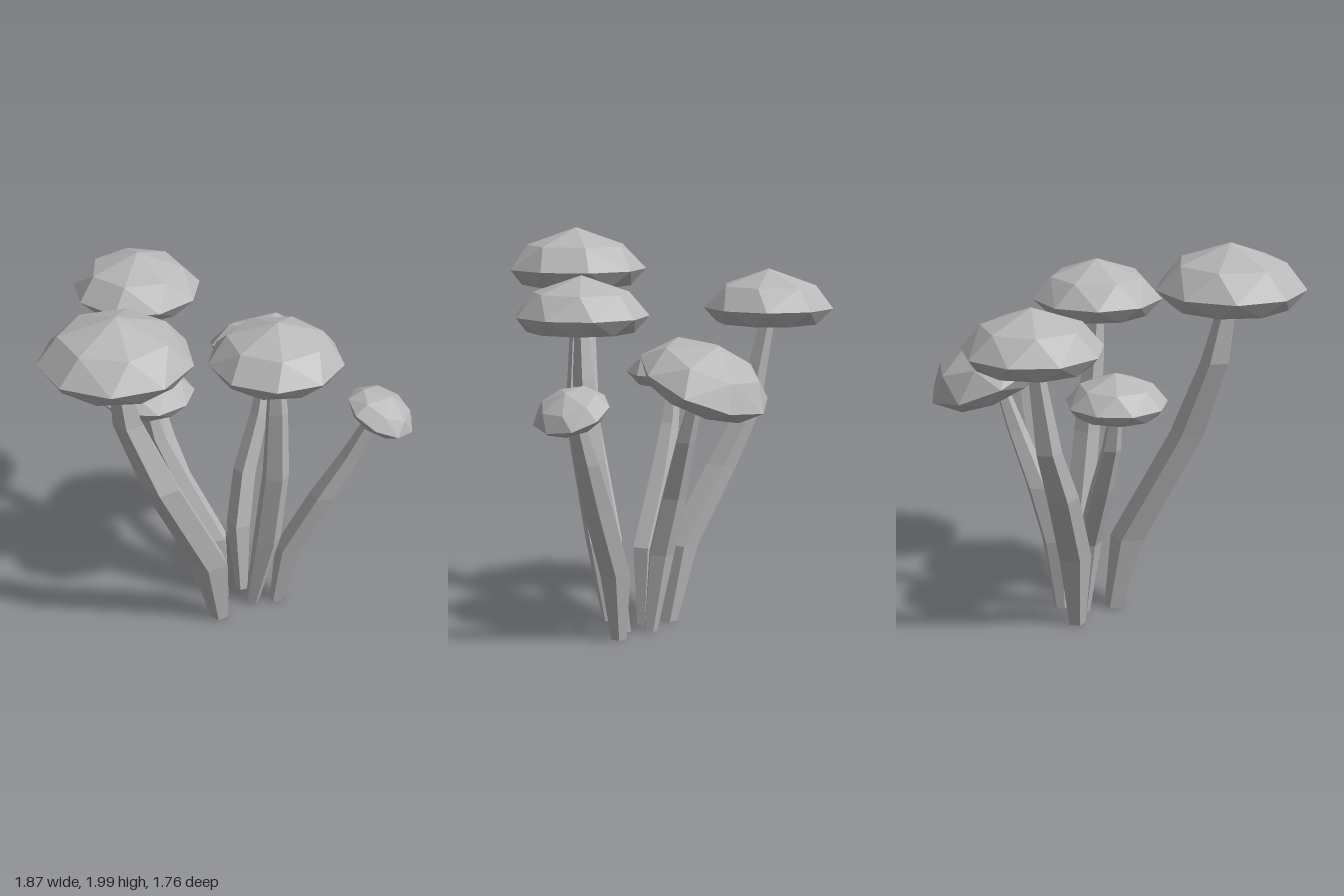
import * as THREE from 'three';
import { ConvexGeometry } from 'three/addons/geometries/ConvexGeometry.js';

// Cap rings: sides, radius and height as fractions of the cap, twist
const CAP_RINGS = [[9, 0.8, 0, 0.25], [9, 1, 0.28, 0], [7, 0.72, 0.69, 0.2], [1, 0.02, 1, 0]];

// Stem thickness from the ground up: narrow foot, swollen middle, thin neck
const STEM_PROFILE = [0.52, 1, 0.95, 0.75, 0.42];

// Builds one mushroom: cap underside centre and radius, stem thickness and bends
function mushroom(name, material, turn, { at, radius, thick, bends, tiltX = 0, tiltZ = 0 }) {
  const cap = new THREE.Mesh(capGeometry(radius), material);
  cap.name = 'cap';
  cap.position.set(...at);
  cap.rotation.set(tiltX, turn, tiltZ, 'XZY');

  // The stem ends a little inside the cap
  const path = [...bends, [at[0], at[1] + 0.05, at[2]]];
  const stem = new THREE.Mesh(stemGeometry(path, thick, turn), material);
  stem.name = 'stem';

  const group = new THREE.Group();
  group.name = name;
  group.add(cap, stem);
  return group;
}

// Faceted, flat-bottomed dome
function capGeometry(size) {
  const points = [];
  for (const [sides, radius, height, twist] of CAP_RINGS) {
    for (let i = 0; i < sides; i++) {
      const a = (i / sides) * Math.PI * 2 + twist;
      points.push(new THREE.Vector3(Math.cos(a) * radius, height * 0.82, Math.sin(a) * radius).multiplyScalar(size));
    }
  }
  return new ConvexGeometry(points);
}

// Five-sided stem lofted through level rings, closed at the foot
function stemGeometry(path, thick, turn) {
  const sides = 5, pos = [];
  const corner = (k, i) => {
    const a = (i / sides) * Math.PI * 2 + turn, r = thick * STEM_PROFILE[k];
    return [path[k][0] + Math.cos(a) * r, path[k][1], path[k][2] + Math.sin(a) * r];
  };
  for (let i = 0; i < sides; i++) {
    pos.push(...path[0], ...corner(0, i), ...corner(0, i + 1));
    for (let k = 0; k < path.length - 1; k++) {
      const a = corner(k, i), b = corner(k, i + 1), c = corner(k + 1, i), d = corner(k + 1, i + 1);
      pos.push(...a, ...c, ...b, ...b, ...c, ...d);
    }
  }
  const geometry = new THREE.BufferGeometry();
  geometry.setAttribute('position', new THREE.Float32BufferAttribute(pos, 3));
  geometry.computeVertexNormals();
  return geometry;
}

export function createModel() {
  const grey = new THREE.MeshStandardMaterial({ color: 0xb8b8b8, flatShading: true });
  grey.name = 'mushroom grey';

  const model = new THREE.Group();
  model.name = 'mushroomCluster';
  model.add(
    mushroom('tallFrontMushroom', grey, 0.1, {
      at: [-0.36, 1.69, 0.525], radius: 0.37, thick: 0.1,
      bends: [[0, 0, 0.045], [-0.03, 0.4, 0.12], [-0.2, 1, 0.38], [-0.33, 1.4, 0.47]],
    }),
    mushroom('backRightMushroom', grey, 0.5, {
      at: [-0.61, 1.53, -0.51], radius: 0.335, thick: 0.09,
      bends: [[-0.16, 0, -0.2], [-0.23, 0.4, -0.23], [-0.44, 0.8, -0.34], [-0.55, 1.08, -0.43]],
    }),
    mushroom('backTiltedMushroom', grey, 0.3, {
      at: [0.1, 1.24, -0.54], radius: 0.335, thick: 0.068, tiltX: -0.42,
      bends: [[0.05, 0, -0.23], [0.02, 0.4, -0.27], [0.03, 0.7, -0.35], [0.08, 1, -0.45]],
    }),
    mushroom('middleLeftMushroom', grey, 0.8, {
      at: [0.28, 1.53, 0.03], radius: 0.335, thick: 0.075,
      bends: [[0.135, 0, -0.125], [0.22, 0.45, -0.09], [0.275, 0.9, -0.03], [0.285, 1.3, 0.01]],
    }),
    mushroom('smallRightMushroom', grey, 0.4, {
      at: [-0.42, 1.2, -0.06], radius: 0.25, thick: 0.068,
      bends: [[-0.03, 0, -0.13], [-0.07, 0.4, -0.11], [-0.25, 0.75, -0.09], [-0.36, 1, -0.07]],
    }),
    mushroom('smallLeftMushroom', grey, 0.6, {
      at: [0.74, 1.18, -0.26], radius: 0.185, thick: 0.078, tiltZ: -0.44,
      bends: [[0.26, 0, -0.18], [0.32, 0.35, -0.2], [0.49, 0.7, -0.22], [0.62, 0.95, -0.25]],
    }),
  );
  return model;
}
